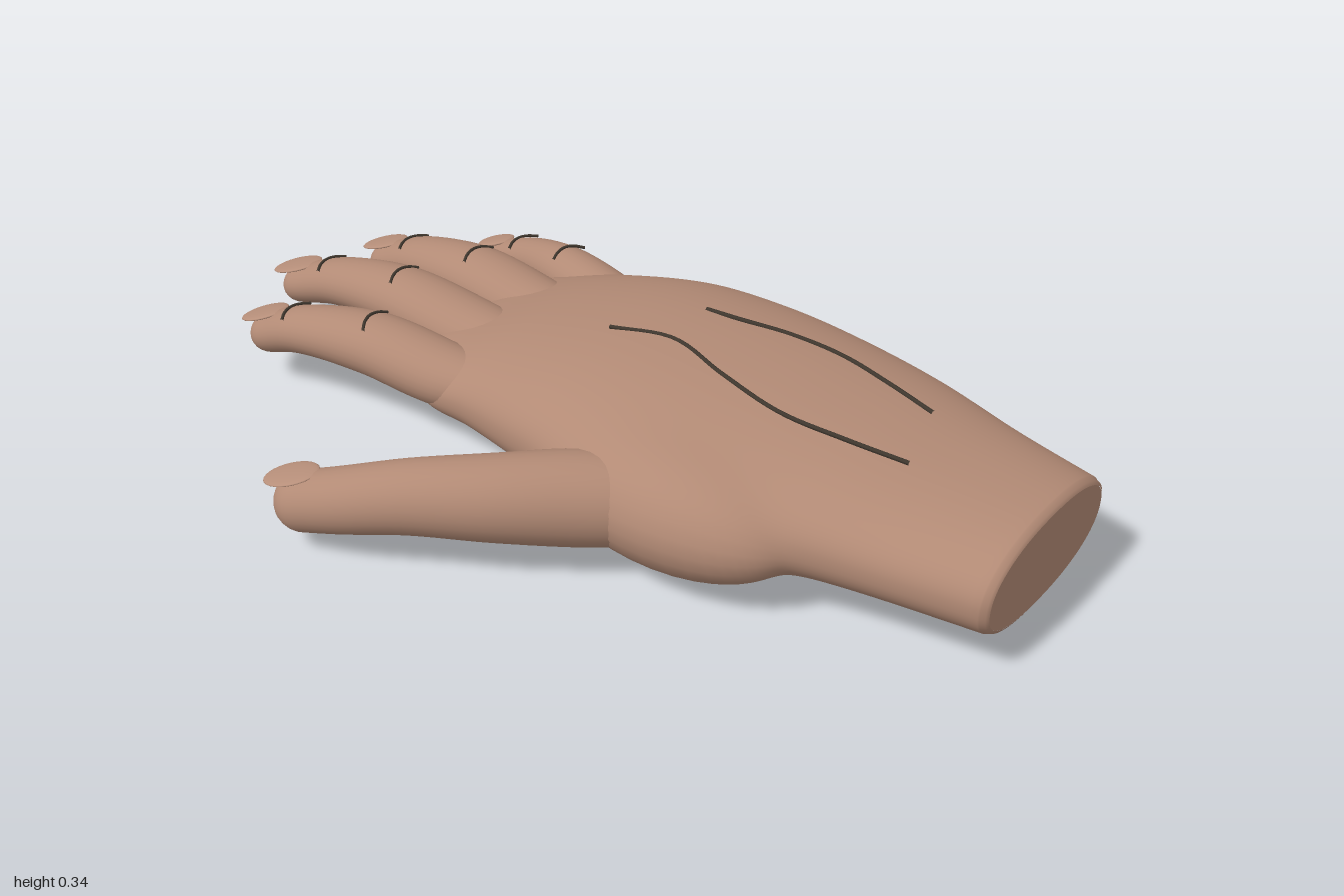
import * as THREE from 'three';

const V = (x, y, z) => new THREE.Vector3(x, y, z);
const skin = new THREE.MeshStandardMaterial({ color: 0xb28a75 });
skin.name = 'skin';
const nailColor = new THREE.MeshStandardMaterial({ color: 0xb78f7a });
nailColor.name = 'nail';
const lineColor = new THREE.MeshStandardMaterial({ color: 0x40382f });
lineColor.name = 'darkLine';

function addMesh(parent, name, geometry, material) {
  const mesh = new THREE.Mesh(geometry, material);
  mesh.name = name;
  parent.add(mesh);
  return mesh;
}

// Skin over a row of closed rings with equal point counts
function loft(rings) {
  const n = rings[0].length, pos = [], idx = [];
  rings.forEach(r => r.forEach(p => pos.push(p.x, p.y, p.z)));
  for (let i = 0; i < rings.length - 1; i++) {
    for (let j = 0; j < n; j++) {
      const k = (j + 1) % n, a = i * n + j, b = i * n + k, c = a + n, d = b + n;
      idx.push(a, c, b, b, c, d);
    }
  }
  const g = new THREE.BufferGeometry();
  g.setAttribute('position', new THREE.Float32BufferAttribute(pos, 3));
  g.setIndex(idx);
  g.computeVertexNormals();
  return g;
}

// Palm profile: z, left edge, right edge, bottom, top
const PALM = [
  [1.0, -0.05, 0.42, 0.052, 0.275],
  [0.8, -0.09, 0.46, 0.05, 0.29],
  [0.6, -0.13, 0.505, 0.042, 0.313],
  [0.4, -0.16, 0.53, 0.034, 0.33],
  [0.2, -0.185, 0.545, 0.03, 0.334],
  [0.0, -0.175, 0.54, 0.034, 0.318],
  [-0.2, -0.135, 0.495, 0.04, 0.272],
  [-0.32, -0.12, 0.45, 0.052, 0.232],
  [-0.39, -0.09, 0.4, 0.1, 0.205],
  [-0.42, 0.12, 0.18, 0.15, 0.17],
];
// Fleshy pads the palm swells over: centre, radii
const PADS = [
  [[-0.115, 0.158, 0.33], [0.15, 0.128, 0.29]],
  [[0.455, 0.135, 0.26], [0.118, 0.098, 0.34]],
  [[0.39, 0.125, -0.1], [0.11, 0.085, 0.25]],
];
const edges = new THREE.CatmullRomCurve3(PALM.map(p => V(p[1], p[2], p[0])), false, 'centripetal');
const heights = new THREE.CatmullRomCurve3(PALM.map(p => V(p[3], p[4], p[0])), false, 'centripetal');
const bend = v => Math.sign(v) * Math.abs(v) ** (2 / 2.25);

// Push a point out to each pad's surface, blending softly
function swell(p) {
  PADS.forEach(([center, size]) => {
    const c = V(...center), s = V(...size), d = p.clone().sub(c);
    const k = d.clone().divide(s).length();
    p.copy(c).addScaledVector(d, (k ** 6 + 1) ** (1 / 6) / k);
  });
  return p;
}

function palmRing(t, shrink = 0, dz = 0) {
  const e = edges.getPoint(t), h = heights.getPoint(t);
  return Array.from({ length: 96 }, (_, j) => {
    const a = j / 96 * Math.PI * 2;
    return V((e.x + e.y) / 2 + ((e.y - e.x) / 2 - shrink) * bend(Math.cos(a)),
      (h.x + h.y) / 2 + ((h.y - h.x) / 2 - shrink) * bend(Math.sin(a)), e.z + dz);
  });
}

// Height of the back of the hand at x, z
function backY(x, z) {
  let i = 0;
  while (i < PALM.length - 2 && PALM[i + 1][0] > z) i++;
  const f = (PALM[i][0] - z) / (PALM[i][0] - PALM[i + 1][0]);
  const [, l, r, b, t] = PALM[i].map((v, k) => v + (PALM[i + 1][k] - v) * f);
  const u = Math.min(1, Math.abs((x - (l + r) / 2) / ((r - l) / 2)));
  return (b + t) / 2 + (t - b) / 2 * (1 - u ** 2.25) ** (1 / 2.25);
}

function line(parent, name, points, radius) {
  const curve = new THREE.CatmullRomCurve3(points);
  return addMesh(parent, name, new THREE.TubeGeometry(curve, 32, radius, 6), lineColor);
}

// A digit swept along x, y, z, radius, with rounded tip, nail and creases
function digit(name, rows, nailSize, creases, flat) {
  const group = new THREE.Group();
  group.name = name;
  const path = new THREE.CatmullRomCurve3(rows.map(r => V(r[0], r[1], r[2])));
  const radii = new THREE.CatmullRomCurve3(rows.map((r, i) => V(r[3], i, 0)));
  const frame = t => {
    const c = path.getPoint(t), dir = path.getTangent(t);
    const side = dir.clone().cross(V(0, 1, 0)).normalize();
    return { c, dir, side, up: side.clone().cross(dir), r: radii.getPoint(t).x };
  };
  const ring = (f, r, ahead) => Array.from({ length: 28 }, (_, j) => {
    const a = j / 28 * Math.PI * 2;
    return f.c.clone().addScaledVector(f.dir, ahead)
      .addScaledVector(f.side, r * Math.cos(a)).addScaledVector(f.up, r * flat * Math.sin(a));
  });
  const rings = [];
  for (let i = 0; i <= 28; i++) { const f = frame(i / 28); rings.push(ring(f, f.r, 0)); }
  const end = frame(1);
  for (let i = 1; i <= 8; i++) {
    const a = i / 8 * Math.PI / 2;
    rings.push(ring(end, end.r * Math.cos(a) + 1e-5, end.r * Math.sin(a)));
  }
  addMesh(group, name + 'Flesh', loft(rings), skin);

  // Thin nail lying on the tip
  const nail = addMesh(group, name + 'Nail', new THREE.SphereGeometry(1, 28, 14), nailColor);
  nail.scale.set(nailSize[0], 0.007, nailSize[1]);
  nail.position.copy(end.c).addScaledVector(end.up, end.r * flat).addScaledVector(end.dir, 0.008);
  nail.quaternion.setFromRotationMatrix(
    new THREE.Matrix4().makeBasis(end.side, end.up, end.dir.clone().negate()));

  // Joint creases arching over the knuckles
  creases.forEach(z => {
    let t = 0;
    while (t < 1 && path.getPoint(t).z > z) t += 0.005;
    const f = frame(t);
    line(group, name + 'Crease', [-1, -0.5, 0, 0.5, 1].map(s => f.c.clone()
      .addScaledVector(f.side, s * 0.048)
      .addScaledVector(f.up, f.r * flat + 0.002 - 0.012 * s * s)
      .addScaledVector(f.dir, -0.014 * s * s)), 0.0035);
  });
  return group;
}

export function createModel() {
  const hand = new THREE.Group();
  hand.name = 'hand';

  // Palm and wrist, with a softened rim at the wrist
  const rings = [palmRing(0, 0.012, 0), palmRing(0, 0.004, -0.004), palmRing(0, 0, -0.014)];
  for (let i = 1; i <= 110; i++) rings.push(palmRing(i / 110));
  const cap = new THREE.ShapeGeometry(new THREE.Shape(rings[0].map(p => new THREE.Vector2(p.x, p.y))));
  addMesh(hand, 'wristEnd', cap, skin).position.z = 1;
  addMesh(hand, 'palm', loft(rings.map(r => r.map(swell))), skin);

  // Thumb and fingers
  hand.add(digit('thumb', [
    [-0.12, 0.155, 0.33, 0.09], [-0.22, 0.16, 0.2, 0.098], [-0.335, 0.165, 0.07, 0.089],
    [-0.43, 0.157, -0.07, 0.077], [-0.495, 0.13, -0.19, 0.069], [-0.52, 0.103, -0.275, 0.064],
  ], [0.048, 0.064], [], 1));
  hand.add(digit('indexFinger', [
    [-0.02, 0.165, -0.1, 0.05], [-0.055, 0.163, -0.3, 0.079], [-0.08, 0.18, -0.5, 0.08],
    [-0.114, 0.165, -0.68, 0.064], [-0.119, 0.122, -0.79, 0.056],
  ], [0.05, 0.064], [-0.51, -0.71], 0.85));
  hand.add(digit('middleFinger', [
    [0.11, 0.16, -0.1, 0.07], [0.105, 0.168, -0.35, 0.088], [0.1, 0.188, -0.58, 0.083],
    [0.096, 0.165, -0.77, 0.067], [0.092, 0.117, -0.905, 0.056],
  ], [0.052, 0.068], [-0.59, -0.81], 0.83));
  hand.add(digit('ringFinger', [
    [0.26, 0.16, -0.1, 0.07], [0.276, 0.165, -0.32, 0.087], [0.286, 0.183, -0.52, 0.084],
    [0.298, 0.16, -0.7, 0.068], [0.307, 0.115, -0.825, 0.056],
  ], [0.05, 0.064], [-0.53, -0.74], 0.83));
  hand.add(digit('littleFinger', [
    [0.38, 0.155, -0.08, 0.06], [0.43, 0.155, -0.25, 0.072], [0.46, 0.166, -0.4, 0.064],
    [0.488, 0.145, -0.53, 0.052], [0.5, 0.107, -0.635, 0.045],
  ], [0.042, 0.05], [-0.4, -0.56], 0.95));

  // Raised veins on the back of the hand
  const onBack = ([x, z]) => V(x, backY(x, z) + 0.003, z);
  line(hand, 'vein', [[0.12, 0], [0.15, 0.14], [0.1, 0.3], [0.07, 0.46], [0.085, 0.6], [0.11, 0.73]].map(onBack), 0.005);
  line(hand, 'vein', [[0.3, 0.12], [0.3, 0.2], [0.325, 0.32], [0.33, 0.44], [0.31, 0.56], [0.285, 0.68]].map(onBack), 0.005);

  // Creases on the underside of the palm
  line(hand, 'palmCrease', [V(0.42, 0.038, 0.19), V(0.31, 0.014, 0.23), V(0.16, 0.003, 0.2), V(0.02, 0.014, 0.09), V(-0.07, 0.034, 0)], 0.003);
  line(hand, 'palmCrease', [V(0.03, 0.022, 0.4), V(0.015, 0.01, 0.25), V(0.005, 0.018, 0.05), V(-0.01, 0.034, -0.12)], 0.003);
  return hand;
}
